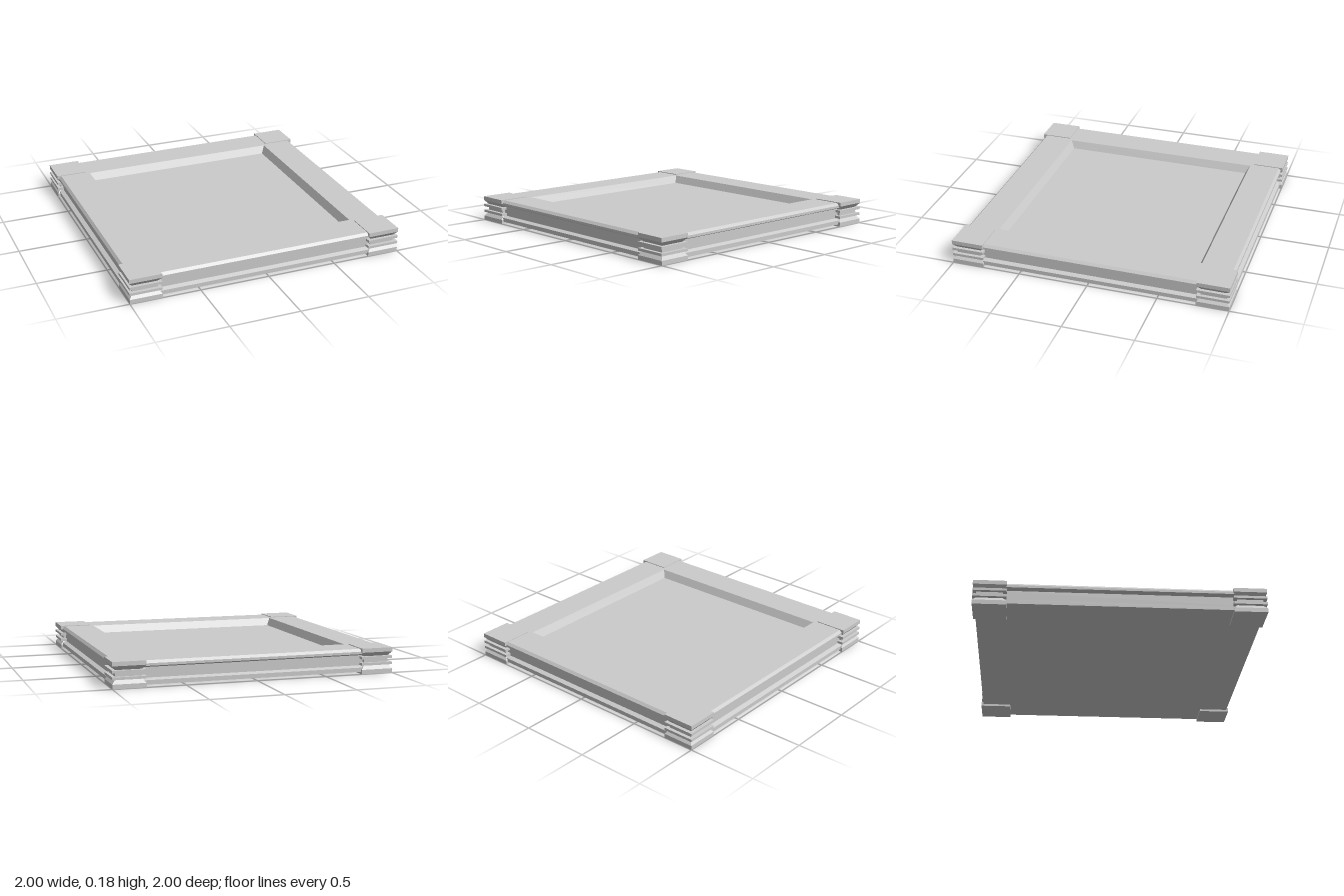
import * as THREE from 'three';

const material = new THREE.MeshStandardMaterial({ color: 0xcccccc, flatShading: true });

// Square solid from a profile of [half-width, height] points, bottom to top
function squareTurned(name, profile) {
  const points = profile.map(([r, y]) => new THREE.Vector2(r * Math.SQRT2, y));
  const geometry = new THREE.LatheGeometry(points, 4);
  geometry.rotateY(Math.PI / 4);
  const mesh = new THREE.Mesh(geometry, material);
  mesh.name = name;
  return mesh;
}

export function createModel() {
  const group = new THREE.Group();
  group.name = 'squareTray';

  // Moulded frame with a sunken floor and bevelled inner walls
  group.add(squareTurned('trayBody', [
    [0, 0.016], [0.985, 0.016], [0.985, 0.045], [0.955, 0.057],
    [0.955, 0.128], [0.985, 0.14], [0.985, 0.157], [0.968, 0.175],
    [0.745, 0.175], [0.715, 0.12], [0, 0.12],
  ]));

  // Corner blocks: thick end plates, tapers and two thin flanges
  const cornerProfile = [
    [0, 0], [0.115, 0], [0.115, 0.031], [0.09, 0.06],
    [0.115, 0.06], [0.115, 0.078], [0.09, 0.078], [0.09, 0.104],
    [0.115, 0.104], [0.115, 0.122], [0.09, 0.122],
    [0.115, 0.151], [0.115, 0.18], [0, 0.18],
  ];
  for (const x of [-1, 1]) {
    for (const z of [-1, 1]) {
      const name = (z > 0 ? 'front' : 'back') + (x > 0 ? 'Left' : 'Right') + 'Corner';
      const corner = squareTurned(name, cornerProfile);
      corner.position.set(x * 0.885, 0, z * 0.885);
      group.add(corner);
    }
  }
  return group;
}
